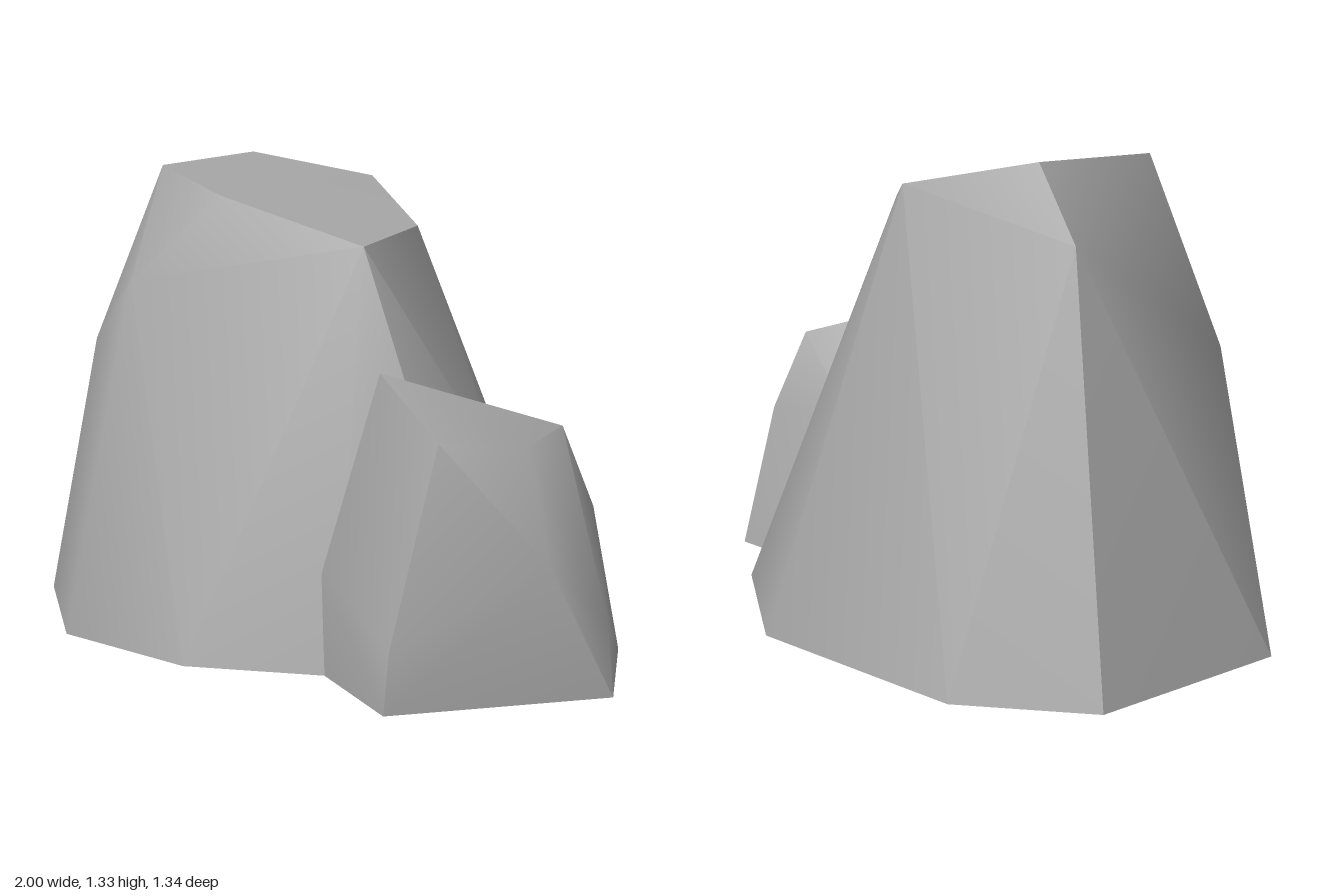
import * as THREE from 'three';
import { toCreasedNormals } from 'three/addons/utils/BufferGeometryUtils.js';
import { ConvexGeometry } from 'three/addons/geometries/ConvexGeometry.js';

const stone = new THREE.MeshStandardMaterial({ color: 0xa6a6a6, side: THREE.DoubleSide });
stone.name = 'grey stone';

// A rock is the hull of its corners, left open where it stands on the ground.
function makeRock(name, base, upper) {
  const corners = [
    ...base.map(([x, z]) => new THREE.Vector3(x, 0, z)),
    ...upper.map((p) => new THREE.Vector3(...p)),
  ];
  const pos = new ConvexGeometry(corners).getAttribute('position');
  const kept = [];
  for (let i = 0; i < pos.count; i += 3) {
    if (Math.max(pos.getY(i), pos.getY(i + 1), pos.getY(i + 2)) < 0.001) continue;
    for (let j = i; j < i + 3; j++) kept.push(pos.getX(j), pos.getY(j), pos.getZ(j));
  }
  const geometry = new THREE.BufferGeometry();
  geometry.setAttribute('position', new THREE.Float32BufferAttribute(kept, 3));
  const mesh = new THREE.Mesh(toCreasedNormals(geometry, 0.85), stone);
  mesh.name = name;
  return mesh;
}

export function createModel() {
  const group = new THREE.Group();
  group.name = 'rocks';

  group.add(makeRock('largeRock',
    // ground outline (x, z)
    [[-1, -0.26], [-0.72, -0.54], [-0.03, -0.67], [0.44, -0.45], [0.63, 0.1],
      [0.36, 0.43], [0, 0.65], [-0.48, 0.67], [-0.94, 0.36]],
    [
      // sloping top
      [-0.58, 1.33, -0.16], [-0.3, 1.26, -0.39], [0.14, 1.15, -0.12],
      [0.25, 1.12, 0.21], [-0.2, 1.24, 0.32], [-0.5, 1.31, 0.27],
      // shoulders
      [-0.71, 1.13, -0.14], [-0.68, 0.8, 0.38], [-0.4, 1.0, 0.48], [0.42, 0.48, -0.17],
    ]));

  group.add(makeRock('smallRock',
    [[0.69, 0.59], [0.2, 0.39], [0.24, -0.23], [0.73, -0.31], [1, 0.06]],
    [
      // peak and ridge
      [0.34, 0.79, 0.24], [0.67, 0.66, 0.37], [0.75, 0.63, 0.11], [0.69, 0.65, -0.1],
      // flanks
      [0.9, 0.35, 0.2], [0.95, 0.18, 0.02], [0.72, 0.42, -0.2],
      [0.295, 0.28, 0.41], [0.69, 0.16, 0.57], [0.36, 0.45, -0.15],
    ]));

  return group;
}
